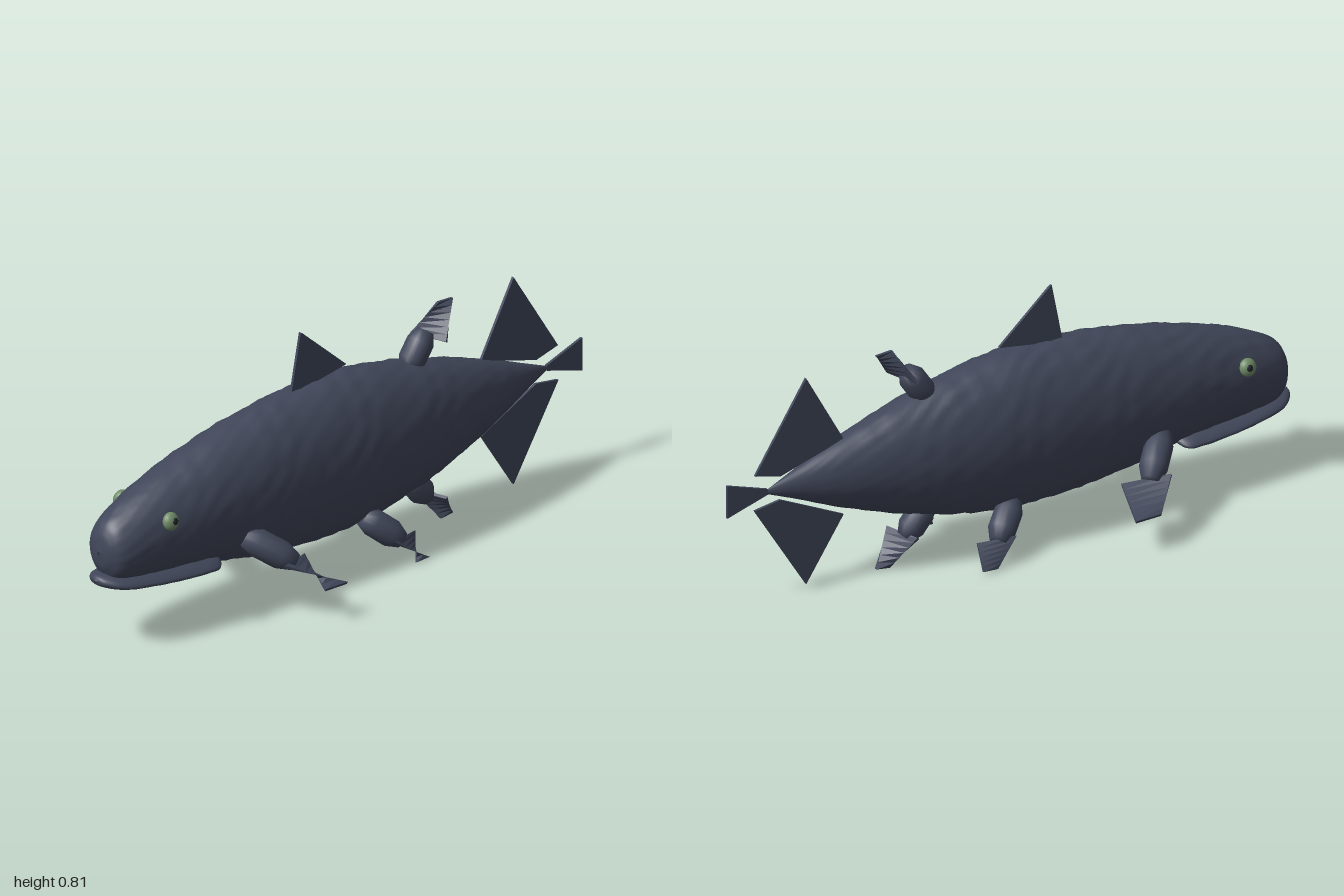
import * as THREE from 'three';

const slate = new THREE.MeshStandardMaterial({ color: 0x41475a, side: THREE.DoubleSide });
slate.name = 'slate skin';
const green = new THREE.MeshStandardMaterial({ color: 0x6f8a66 });
green.name = 'green eye';
const dark = new THREE.MeshStandardMaterial({ color: 0x20242c });
dark.name = 'dark pupil';

const V = (p) => new THREE.Vector3(...p);

function add(parent, name, geometry, material = slate) {
  const mesh = new THREE.Mesh(geometry, material);
  mesh.name = name;
  parent.add(mesh);
  return mesh;
}

// Smooth skin through elliptical sections; each row is [z, top, bottom, half width]
function loft(rows, rings, sides, bump, droop = 0) {
  const heights = new THREE.CatmullRomCurve3(rows.map((r) => V([r[0], r[1], r[2]])), false, 'catmullrom', 0.5);
  const widths = new THREE.CatmullRomCurve3(rows.map((r) => V([r[0], r[3], 0])), false, 'catmullrom', 0.5);
  const pos = [], index = [];
  for (let i = 0; i <= rings; i++) {
    const h = heights.getPoint(i / rings), w = widths.getPoint(i / rings).y;
    const mid = (h.y + h.z) / 2, ry = (h.y - h.z) / 2;
    for (let j = 0; j < sides; j++) {
      const a = (j / sides) * Math.PI * 2;
      // Uneven scaly relief, fading out at the ends
      const relief = Math.sin(h.x * 47 + 3 * Math.sin(a * 3)) * Math.sin(a * 9 + 2 * Math.sin(h.x * 19))
        + 0.6 * Math.sin(h.x * 83 + a * 5) * Math.sin(a * 14 - h.x * 31);
      const d = 1 + bump * relief * Math.min(1, w / 0.1);
      const x = Math.cos(a) * w * d;
      pos.push(x, mid + Math.sin(a) * ry * d - droop * x * x, h.x);
      if (i < rings) {
        const k = (j + 1) % sides, p = i * sides, q = p + sides;
        index.push(p + j, q + k, q + j, p + j, p + k, q + k);
      }
    }
  }
  // The rings run from front to back, so the winding is reversed to face outward
  for (let n = 0; n < index.length; n += 3) [index[n + 1], index[n + 2]] = [index[n + 2], index[n + 1]];
  const g = new THREE.BufferGeometry();
  g.setAttribute('position', new THREE.Float32BufferAttribute(pos, 3));
  g.setIndex(index);
  g.computeVertexNormals();
  return g;
}

// Thin blade ruled from root edge a-b to outer edge c-d
function blade(a, b, c, d, thick = 0.01) {
  [a, b, c, d] = [a, b, c, d].map(V);
  const axis = c.clone().add(d).sub(a).sub(b);
  const normalOf = (p, q) => q.clone().sub(p).cross(axis).normalize();
  const n0 = normalOf(a, b), n1 = normalOf(c, d);
  const box = new THREE.BoxGeometry(1, 1, 1, 1, 6, 1);
  const p = box.attributes.position;
  for (let i = 0; i < p.count; i++) {
    const u = p.getX(i) + 0.5, v = p.getY(i) + 0.5;
    const root = a.clone().lerp(b, u), tip = c.clone().lerp(d, u);
    const n = n0.clone().lerp(n1, v);
    const out = root.lerp(tip, v).addScaledVector(n, p.getZ(i) * thick);
    p.setXYZ(i, out.x, out.y, out.z);
  }
  const g = box.toNonIndexed();
  g.computeVertexNormals();
  return g;
}

// Fleshy stalk with bevelled ends
function lobe(from, to, r) {
  const start = V(from), dir = V(to).sub(start), len = dir.length();
  const profile = [[0, 0], [r * 0.7, 0], [r, len * 0.25], [r, len * 0.72], [r * 0.6, len], [0, len]];
  const g = new THREE.LatheGeometry(profile.map((q) => new THREE.Vector2(...q)), 16);
  g.applyQuaternion(new THREE.Quaternion().setFromUnitVectors(new THREE.Vector3(0, 1, 0), dir.normalize()));
  return g.translate(start.x, start.y, start.z);
}

export function createModel() {
  const fish = new THREE.Group();
  fish.name = 'lobeFinnedFish';

  // Body and lower jaw
  add(fish, 'body', loft([
    [0.985, 0.345, 0.335, 0.004], [0.972, 0.405, 0.28, 0.05], [0.93, 0.45, 0.235, 0.085],
    [0.8, 0.51, 0.212, 0.113], [0.6, 0.57, 0.19, 0.136], [0.4, 0.612, 0.148, 0.149],
    [0.2, 0.634, 0.124, 0.155], [0, 0.636, 0.12, 0.156], [-0.2, 0.605, 0.145, 0.145],
    [-0.4, 0.555, 0.195, 0.117], [-0.6, 0.488, 0.265, 0.075], [-0.75, 0.428, 0.328, 0.033],
    [-0.855, 0.385, 0.37, 0.003],
  ], 110, 56, 0.013));
  add(fish, 'lowerJaw', loft([
    [1, 0.254, 0.25, 0.004], [0.985, 0.267, 0.232, 0.04], [0.93, 0.268, 0.22, 0.08],
    [0.8, 0.262, 0.212, 0.106], [0.65, 0.257, 0.204, 0.118], [0.58, 0.25, 0.204, 0.11],
    [0.55, 0.235, 0.22, 0.05],
  ], 40, 32, 0.012, 1.6));

  // Eyes
  for (const s of [1, -1]) {
    const eye = add(fish, s > 0 ? 'leftEye' : 'rightEye', new THREE.SphereGeometry(1, 20, 14), green);
    eye.scale.set(0.02, 0.029, 0.028);
    eye.position.set(s * 0.112, 0.425, 0.79);
    eye.rotation.z = s * 0.25;
    const pupil = add(fish, s > 0 ? 'leftPupil' : 'rightPupil', new THREE.SphereGeometry(1, 14, 10), dark);
    pupil.scale.set(0.004, 0.011, 0.011);
    pupil.position.set(s * 0.13, 0.43, 0.787);
    pupil.rotation.z = s * 0.25;
  }

  // Paired fins; the blades on the left are twisted half a turn
  const pairs = [
    { name: 'Pectoral', from: [0.11, 0.278, 0.485], to: [0.22, 0.193, 0.375], r: 0.045,
      root: [[0.24, 0.205, 0.44], [0.175, 0.18, 0.3]], tip: [[0.327, 0.128, 0.35], [0.327, 0.125, 0.26]] },
    { name: 'Pelvic', from: [0.08, 0.17, -0.03], to: [0.15, 0.085, -0.125], r: 0.044,
      root: [[0.17, 0.1, -0.07], [0.135, 0.09, -0.19]], tip: [[0.188, 0.015, -0.15], [0.19, 0.018, -0.2]] },
  ];
  for (const f of pairs) {
    for (const s of [1, -1]) {
      const side = s > 0 ? 'left' : 'right';
      const at = ([x, y, z]) => [s * x, y, z];
      const tip = s > 0 ? [f.tip[1], f.tip[0]] : f.tip;
      add(fish, side + f.name + 'Lobe', lobe(at(f.from), at(f.to), f.r));
      add(fish, side + f.name + 'Fin', blade(...f.root.map(at), ...tip.map(at)));
    }
  }

  // Rear dorsal and anal fins: root edge across, outer edge lengthwise
  add(fish, 'rearDorsalLobe', lobe([0, 0.555, -0.285], [0, 0.662, -0.36], 0.043));
  add(fish, 'rearDorsalFin', blade([-0.057, 0.637, -0.35], [0.067, 0.637, -0.385], [0, 0.742, -0.41], [0, 0.738, -0.468]));
  add(fish, 'analLobe', lobe([0, 0.195, -0.285], [0, 0.1, -0.365], 0.043));
  add(fish, 'analFin', blade([-0.057, 0.115, -0.35], [0.067, 0.115, -0.385], [0, 0.012, -0.42], [0, 0.018, -0.468]));

  // Flat midline fins, given as [z, y] corners
  const flat = (name, ...c) => add(fish, name, blade(...c.map(([z, y]) => [0, y, z]), 0.009));
  flat('frontDorsalFin', [0.197, 0.62], [-0.03, 0.655], [0.157, 0.82], [0.15, 0.815]);
  flat('upperTailFin', [-0.585, 0.49], [-0.81, 0.42], [-0.718, 0.727], [-0.9, 0.442]);
  flat('lowerTailFin', [-0.585, 0.235], [-0.81, 0.34], [-0.718, 0.033], [-0.902, 0.325]);
  flat('tailTipFin', [-0.855, 0.388], [-0.855, 0.37], [-1, 0.435], [-1, 0.325]);

  return fish;
}
